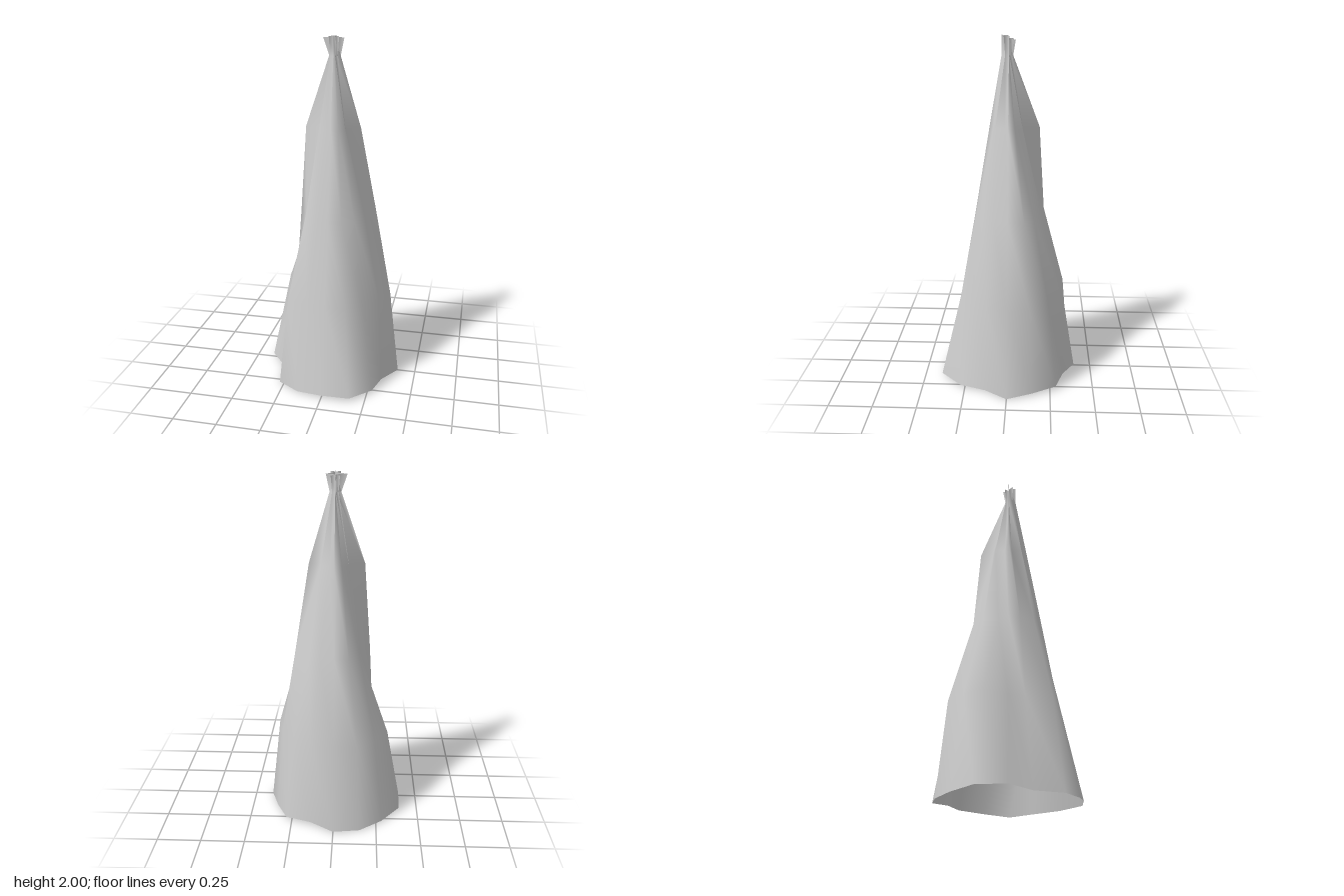
import * as THREE from 'three';

const SIDES = 16;

// Each ring: height, then the radius of every fold, going round from +x towards +z
const rings = [
  { y: 0.011, r: [.395, .337, .392, .429, .39, .387, .392, .314, .395, .423, .40, .40, .40, .355, .40, .376] },
  { y: 0.52, r: [.335, .31, .285, .30, .275, .29, .325, .235, .225, .335, .33, .351, .315, .34, .33, .333] },
  { y: 1.0, r: [.20, .205, .20, .20, .195, .185, .20, .17, .20, .15, .20, .217, .20, .205, .205, .245] },
  { y: 1.5, r: [.148, .055, .105, .095, .11, .075, .105, .05, .165, .06, .11, .10, .17, .075, .11, .09] },
  { y: 1.89, r: [.032, .003, .03, .003, .042, .003, .03, .003, .032, .003, .025, .003, .022, .003, .025, .003] },
  { y: 1.985, r: [.052, .003, .04, .003, .042, .003, .04, .003, .065, .003, .035, .003, .036, .003, .035, .003] },
];

// Skin the rings into one smooth open cloth surface
function clothGeometry() {
  const positions = [];
  const index = [];
  rings.forEach(({ y, r }, j) => {
    for (let i = 0; i < SIDES; i++) {
      const a = (i / SIDES) * Math.PI * 2;
      // the hem and the gathered tip are slightly uneven
      let lift = 0;
      if (j === 0) lift = 0.011 * Math.cos(3 * (a - 1.18));
      if (j === rings.length - 1) lift = 0.012 * Math.sin(a);
      positions.push(r[i] * Math.cos(a), y + lift, r[i] * Math.sin(a));
      if (j < rings.length - 1) {
        const p = j * SIDES + i;
        const q = j * SIDES + ((i + 1) % SIDES);
        index.push(p, p + SIDES, q + SIDES, p, q + SIDES, q);
      }
    }
  });
  const geometry = new THREE.BufferGeometry();
  geometry.setAttribute('position', new THREE.Float32BufferAttribute(positions, 3));
  geometry.setIndex(index);
  geometry.computeVertexNormals();
  return geometry;
}

export function createModel() {
  const group = new THREE.Group();
  group.name = 'gatheredCloth';
  const material = new THREE.MeshStandardMaterial({ color: 0xcccccc, side: THREE.DoubleSide });

  // Hanging cloth, open at the hem and pinched into deep pleats at the top
  const cloth = new THREE.Mesh(clothGeometry(), material);
  cloth.name = 'cloth';
  group.add(cloth);
  return group;
}
